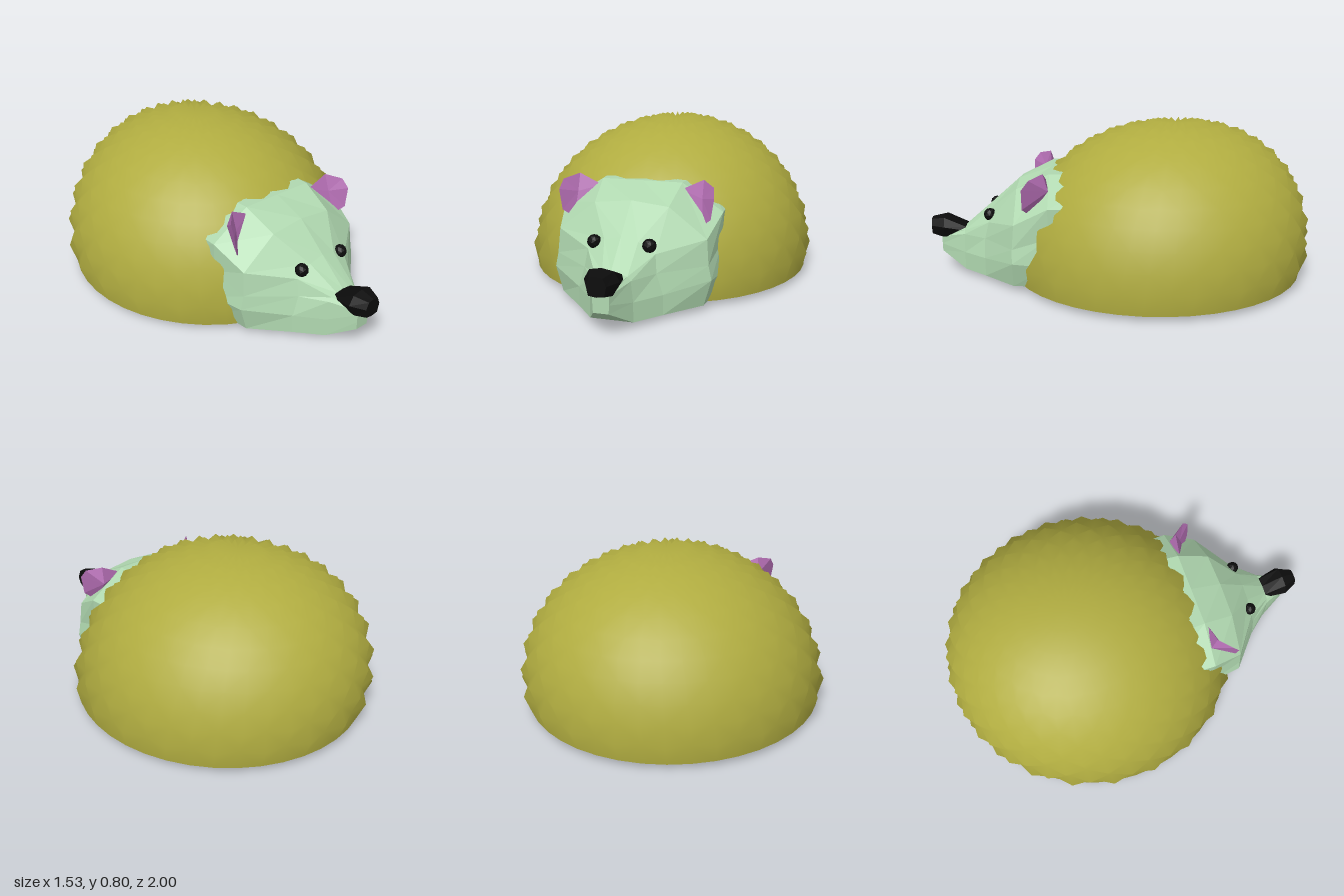
import * as THREE from 'three';

const material = (color, flat = true) =>
  new THREE.MeshStandardMaterial({ color, flatShading: flat, side: THREE.DoubleSide });

function build(positions, indices) {
  const g = new THREE.BufferGeometry();
  g.setAttribute('position', new THREE.Float32BufferAttribute(positions.flat(), 3));
  g.setIndex(indices);
  g.computeVertexNormals();
  return g;
}

// Skin over half sections (bottom centre to top centre), mirrored in x, ordered back to front
function loft(sections, backCap) {
  const points = [], index = [];
  const n = sections[0].length * 2 - 2;
  for (const half of sections) {
    points.push(...half, ...half.slice(1, -1).reverse().map(([x, y, z]) => [-x, y, z]));
  }
  for (let k = 0; k < sections.length - 1; k++) {
    for (let i = 0; i < n; i++) {
      const a = k * n + i, b = k * n + (i + 1) % n;
      index.push(a, b, a + n, b, b + n, a + n);
    }
  }
  const last = (sections.length - 1) * n;
  for (let i = 1; i < n - 1; i++) {
    index.push(last, last + i, last + i + 1);
    if (backCap) index.push(0, i + 1, i);
  }
  return build(points, index);
}

// Dome of short quills: alternate grid points rise as pyramids, shading stays smooth
function quillCoat() {
  const rows = 13, segs = 44, points = [], normals = [], index = [];
  const low = Math.asin(-0.075 / 0.69);
  for (let i = 0; i <= rows; i++) {
    const phi = i === 0 ? low : low + (Math.PI / 2 - low) * (i - 1) / (rows - 1);
    const c = Math.max(0, Math.cos(phi)), s = Math.sin(phi);
    for (let j = 0; j <= segs; j++) {
      const t = j / segs * Math.PI * 2;
      const quilled = i > 1 && i < rows;
      const bump = !quilled ? 1 : (i + j) % 2 === 0 ? 1.03 : 0.985;
      const r = i === 0 ? 0.87 : bump;
      const y = i === 0 ? 0 : 0.1 + 0.69 * s * bump;
      points.push([0.75 * r * c * Math.sin(t), y,
        -0.185 - 0.14 * y + 0.772 * r * Math.pow(c, 0.88) * Math.cos(t)]);
      normals.push(...new THREE.Vector3(c * Math.sin(t) / 0.75, s / 0.69, c * Math.cos(t) / 0.772)
        .normalize().toArray());
    }
  }
  const w = segs + 1;
  for (let i = 0; i < rows; i++) {
    for (let j = 0; j < segs; j++) {
      const a = i * w + j, b = a + 1, c = a + w, d = c + 1;
      if ((i + j) % 2 === 0) index.push(a, b, c, b, d, c);
      else index.push(a, b, d, a, d, c);
    }
  }
  const g = build(points, index);
  g.setAttribute('normal', new THREE.Float32BufferAttribute(normals, 3));
  return g;
}

// Cupped ear; side is 1 or -1
function ear(side) {
  const rim = [[0.2, 0.53, 0.375], [0.32, 0.38, 0.45], [0.365, 0.42, 0.485],
    [0.38, 0.52, 0.485], [0.37, 0.565, 0.45], [0.31, 0.585, 0.385]];
  const points = [...rim, [0.31, 0.5, 0.415], [0.32, 0.5, 0.36]].map(([x, y, z]) => [x * side, y, z]);
  const index = [];
  rim.forEach((_, i) => {
    const j = (i + 1) % rim.length;
    const [a, b] = side > 0 ? [i, j] : [j, i];
    index.push(a, b, 6, b, a, 7);
  });
  return build(points, index);
}

export function createModel() {
  const model = new THREE.Group();
  model.name = 'hedgehog';
  const add = (name, geometry, mat, parent = model) => {
    const mesh = new THREE.Mesh(geometry, mat);
    mesh.name = name;
    parent.add(mesh);
    return mesh;
  };
  const fur = material(0xb0d8b0), pink = material(0xb46eb4), black = material(0x0c0c0c);

  add('quillCoat', quillCoat(), material(0xb0ac40, false));

  const head = new THREE.Group();
  head.name = 'head';
  model.add(head);

  // Face, from the open neck inside the coat to the tip of the muzzle
  add('face', loft([
    [[0, 0.025, 0], [0.37, 0.025, 0], [0.4, 0.15, 0.01], [0.4, 0.27, 0.02],
      [0.39, 0.42, 0.04], [0.22, 0.56, 0.05], [0, 0.56, 0.05]],
    [[0, 0.025, 0.36], [0.37, 0.025, 0.36], [0.41, 0.14, 0.36], [0.395, 0.28, 0.36],
      [0.4, 0.43, 0.36], [0.2, 0.56, 0.36], [0, 0.56, 0.36]],
    [[0, 0.025, 0.54], [0.35, 0.025, 0.54], [0.385, 0.15, 0.54], [0.37, 0.22, 0.54],
      [0.36, 0.34, 0.53], [0.18, 0.48, 0.53], [0, 0.5, 0.53]],
    [[0, 0.025, 0.7], [0.2, 0.025, 0.7], [0.2, 0.12, 0.7], [0.17, 0.217, 0.7],
      [0.16, 0.3, 0.68], [0.08, 0.35, 0.68], [0, 0.37, 0.68]],
    [[0, 0.028, 0.82], [0.1, 0.028, 0.82], [0.1, 0.12, 0.82], [0.09, 0.216, 0.82],
      [0.075, 0.235, 0.82], [0.04, 0.245, 0.82], [0, 0.25, 0.82]],
    [[0, 0.11, 0.95], [0.035, 0.11, 0.95], [0.037, 0.15, 0.95], [0.037, 0.19, 0.95],
      [0.035, 0.21, 0.95], [0.02, 0.218, 0.95], [0, 0.22, 0.95]],
  ], false), fur, head);

  // Nose
  add('nose', loft([
    [[0, 0.2, 0.82], [0.05, 0.205, 0.82], [0.06, 0.225, 0.82], [0.05, 0.245, 0.82], [0, 0.25, 0.82]],
    [[0, 0.185, 0.94], [0.05, 0.19, 0.94], [0.08, 0.25, 0.93], [0.055, 0.295, 0.93], [0, 0.305, 0.93]],
    [[0, 0.2, 1], [0.035, 0.205, 1], [0.045, 0.25, 1], [0.03, 0.285, 1], [0, 0.29, 1]],
  ], true), black, head);

  // Eyes and ears
  for (const [side, label] of [[1, 'left'], [-1, 'right']]) {
    add(label + 'Eye', new THREE.IcosahedronGeometry(0.033, 1), black, head)
      .position.set(0.13 * side, 0.335, 0.675);
    add(label + 'Ear', ear(side), pink, head);
  }
  return model;
}
